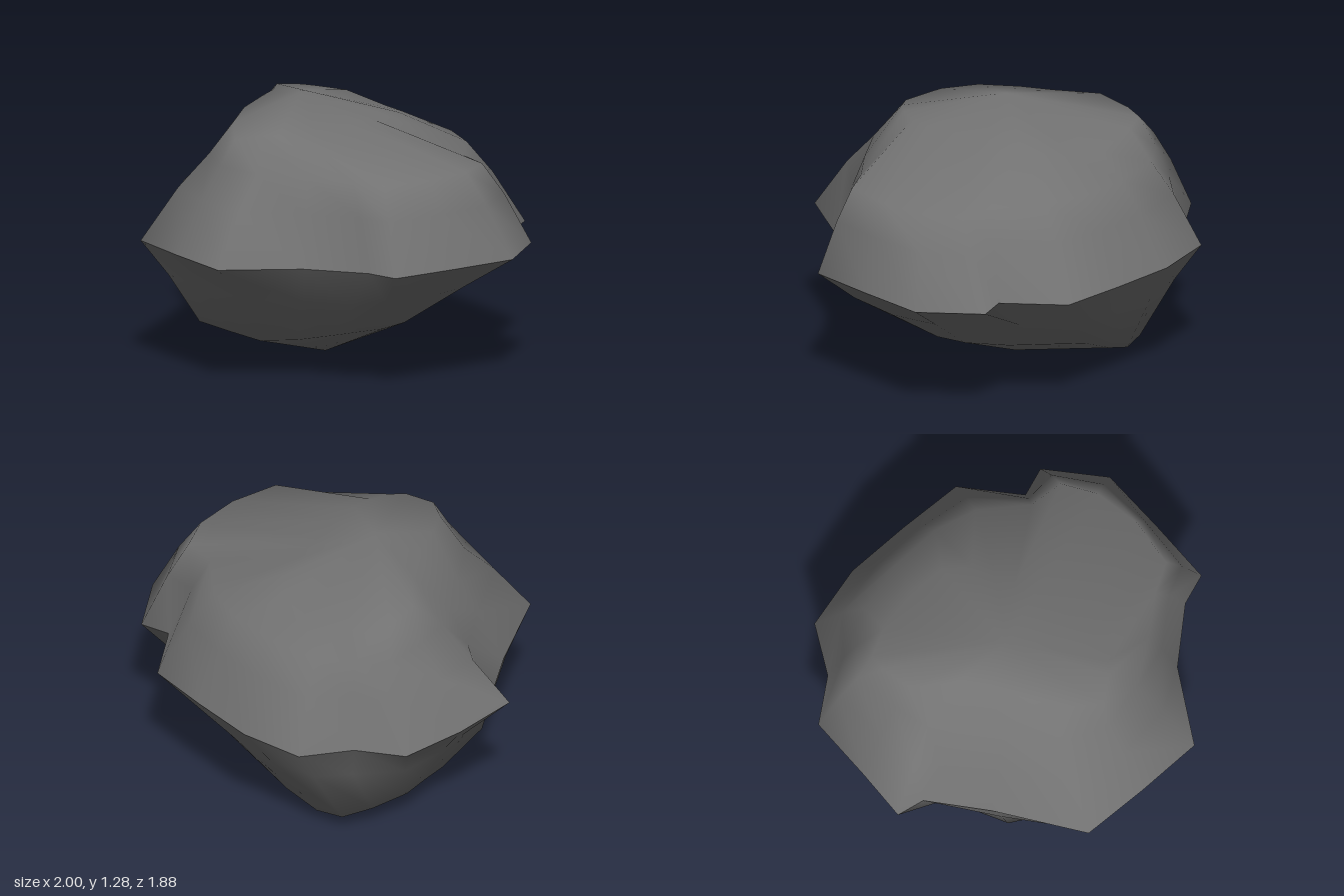
import * as THREE from 'three';
import { mergeVertices } from 'three/addons/utils/BufferGeometryUtils.js';

const { lerp } = THREE.MathUtils;

// Cross-sections as [x, z, optional lift], clockwise seen from above, matched point by point.
// Keel: low section near the ground
const keel = [
  [-0.36, -0.6, -0.08], [-0.22, -0.6, -0.09], [-0.05, -0.59, -0.03], [0.08, -0.52, 0.03], [0.2, -0.35, 0.04],
  [0.3, -0.22, 0.05], [0.38, -0.03, 0.06], [0.37, 0.12, 0.06], [0.3, 0.27, 0.06], [0.22, 0.36, 0.05],
  [0.1, 0.44, 0.03], [-0.08, 0.5, 0.01], [-0.3, 0.42], [-0.55, 0.35], [-0.62, 0.27],
  [-0.62, 0.05], [-0.62, -0.1], [-0.6, -0.23], [-0.57, -0.35, -0.02], [-0.47, -0.5, -0.05],
];
// Belly: halfway up the underside
const belly = [
  [-0.32, -0.8], [-0.08, -0.79], [0.15, -0.72], [0.36, -0.61], [0.5, -0.37],
  [0.6, -0.23, 0.03], [0.73, -0.04, 0.03], [0.71, 0.2, 0.03], [0.62, 0.44, 0.04], [0.46, 0.49],
  [0.23, 0.57], [-0.02, 0.68], [-0.3, 0.64], [-0.6, 0.53], [-0.69, 0.27],
  [-0.74, 0], [-0.755, -0.14], [-0.74, -0.31], [-0.67, -0.54], [-0.47, -0.69],
];
// Rim: the widest section, with the side bulge at +x and a jutting spur at -x
const rim = [
  [-0.32, -0.94], [0, -0.91], [0.31, -0.8], [0.61, -0.68], [0.73, -0.37],
  [0.88, -0.37], [1, -0.06], [0.89, 0.25], [0.77, 0.56], [0.61, 0.56],
  [0.31, 0.68], [0, 0.94], [-0.32, 0.83], [-0.63, 0.71], [-0.75, 0.25],
  [-0.86, -0.06], [-1, -0.12, 0.06], [-0.88, -0.37], [-0.76, -0.68], [-0.52, -0.76],
];
// Shoulder: where the sides turn in, level with the flat top of the bulge
const shoulder = [
  [-0.27, -0.7], [0, -0.67], [0.24, -0.59], [0.42, -0.47], [0.57, -0.25],
  [0.73, -0.18], [0.77, 0], [0.73, 0.23], [0.62, 0.45], [0.46, 0.48],
  [0.25, 0.56], [0, 0.63], [-0.24, 0.6], [-0.42, 0.45], [-0.53, 0.2],
  [-0.61, -0.02], [-0.65, -0.15], [-0.64, -0.33], [-0.6, -0.56], [-0.45, -0.64],
];
// Crown: uneven edge of the top, with a raised corner at the back of the -x side
const crown = [
  [-0.35, -0.55, -0.03], [-0.1, -0.52, -0.06], [0.05, -0.45, -0.05], [0.12, -0.33, -0.02], [0.12, -0.2],
  [0.12, -0.1], [0.12, 0], [0.12, 0.15], [0.1, 0.3], [0.06, 0.4],
  [0, 0.47, 0.01], [-0.06, 0.51, 0.01], [-0.19, 0.55, -0.02], [-0.3, 0.42, 0.02], [-0.36, 0.25, 0.05],
  [-0.4, 0.05, 0.06], [-0.45, -0.1, 0.05], [-0.57, -0.29, 0.02], [-0.54, -0.45, -0.01], [-0.5, -0.53, -0.03],
];

const point = (x, z) => rim.map(() => [x, z]);
const blend = (a, b, t) => a.map(([x, z], i) => [lerp(x, b[i][0], t), lerp(z, b[i][1], t)]);

// Smooth skin over [height, outline] levels, listed from the bottom up.
function loft(levels) {
  const n = rim.length;
  const positions = [];
  const index = [];
  for (const [y, outline] of levels) {
    for (const [x, z, lift = 0] of outline) positions.push(x, y + lift, z);
  }
  for (let r = 0; r < levels.length - 1; r++) {
    for (let k = 0; k < n; k++) {
      const a = r * n + k, b = r * n + (k + 1) % n;
      index.push(a, a + n, b + n, a, b + n, b);
    }
  }
  const geometry = new THREE.BufferGeometry();
  geometry.setAttribute('position', new THREE.Float32BufferAttribute(positions, 3));
  geometry.setIndex(index);
  const merged = mergeVertices(geometry);
  merged.computeVertexNormals();
  return merged;
}

export function createModel() {
  const rock = new THREE.Group();
  rock.name = 'rock';
  const material = new THREE.MeshStandardMaterial({ color: 0x727272 });

  // Underside and top are separate skins, so the rim between them stays crisp
  const parts = {
    underside: [[0, point(-0.11, -0.06)], [0.16, keel], [0.42, belly], [0.62, rim]],
    top: [
      [0.62, rim],
      [0.87, blend(rim, shoulder, 0.55)],
      [1.025, shoulder],
      [1.17, crown],
      [1.285, point(-0.18, 0.02)],
    ],
  };
  for (const [name, levels] of Object.entries(parts)) {
    const mesh = new THREE.Mesh(loft(levels), material);
    mesh.name = name;
    rock.add(mesh);
  }
  return rock;
}
